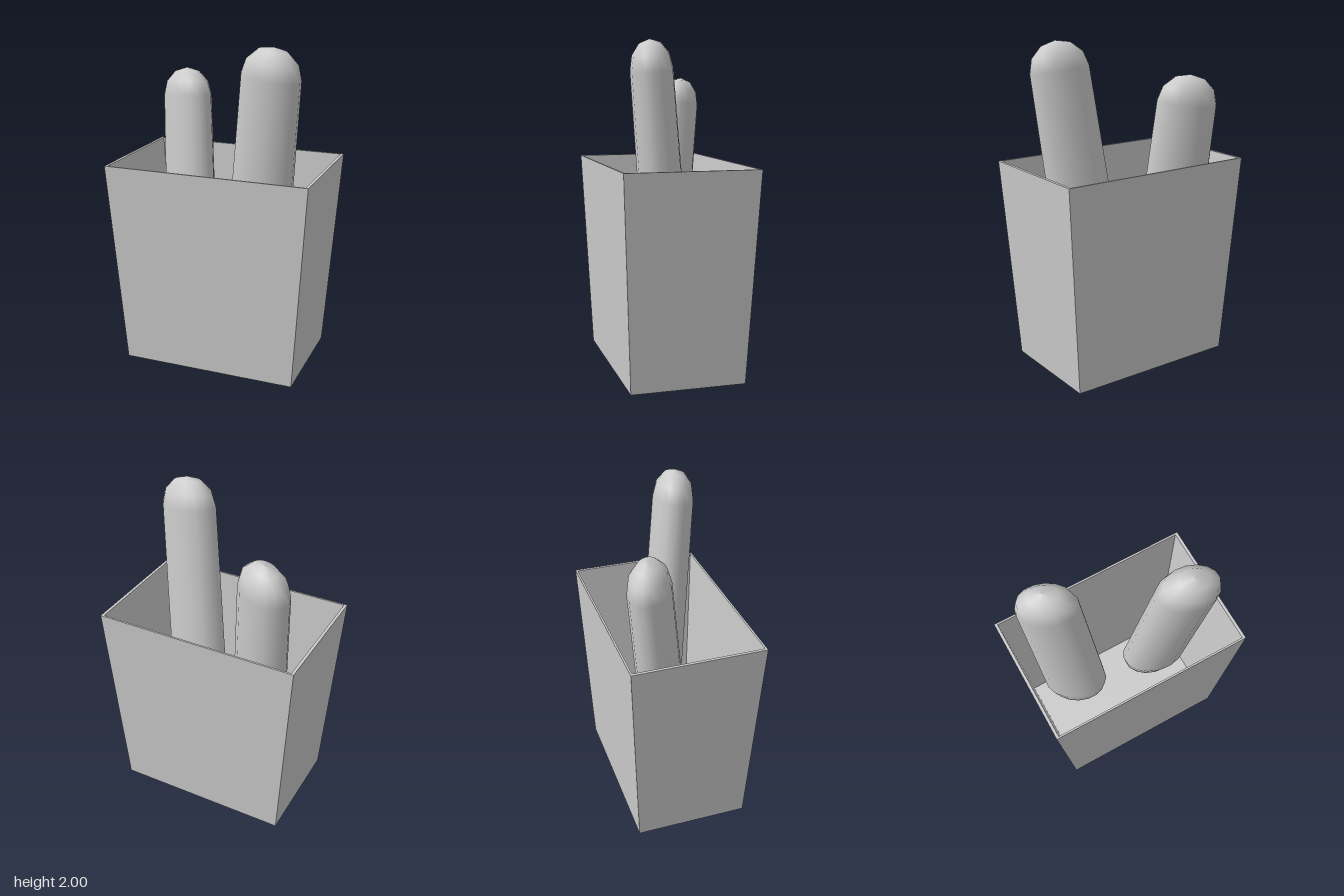
import * as THREE from 'three';

const material = new THREE.MeshStandardMaterial({ color: 0xcccccc });
const points = (list) => list.map(([r, y]) => new THREE.Vector2(r, y));

// Open, tapered rectangular box: a four-sided lathe of the wall section, squashed in depth
function createBox() {
  const section = points([
    [0, 0], [0.545, 0], [0.63, 1.27],       // underside, outer wall
    [0.612, 1.27], [0.527, 0.02], [0, 0.02], // rim, inner wall, floor
  ]);
  section.forEach((p) => { p.x *= Math.SQRT2; });
  const geometry = new THREE.LatheGeometry(section, 4, Math.PI / 4).toNonIndexed();
  geometry.scale(1, 1, 0.635);
  geometry.computeVertexNormals();
  const box = new THREE.Mesh(geometry, material);
  box.name = 'box';
  return box;
}

// Round-ended stick of oval section, with its origin at the top
function createStick(name, tip, lean, yaw) {
  const profile = points([
    [0, -1.45], [0.1, -1.43], [0.17, -1.37], [0.203, -1.25],
    [0.185, -0.17], [0.16, -0.085], [0.092, -0.022], [0, 0],
  ]);
  const geometry = new THREE.LatheGeometry(profile, 16);
  geometry.scale(1, 1, 0.67);
  geometry.rotateY(yaw);
  const stick = new THREE.Mesh(geometry, material);
  stick.name = name;
  stick.position.set(...tip);
  const axis = new THREE.Vector3(...lean).normalize();
  stick.quaternion.setFromUnitVectors(new THREE.Vector3(0, 1, 0), axis);
  return stick;
}

export function createModel() {
  const model = new THREE.Group();
  model.name = 'boxOfSticks';
  model.add(
    createBox(),
    createStick('tallStick', [0.345, 1.995, 0.18], [0.1, 1, 0.103], -0.21),
    createStick('shortStick', [-0.357, 1.785, -0.22], [-0.06, 1, -0.105], -0.49),
  );
  return model;
}
